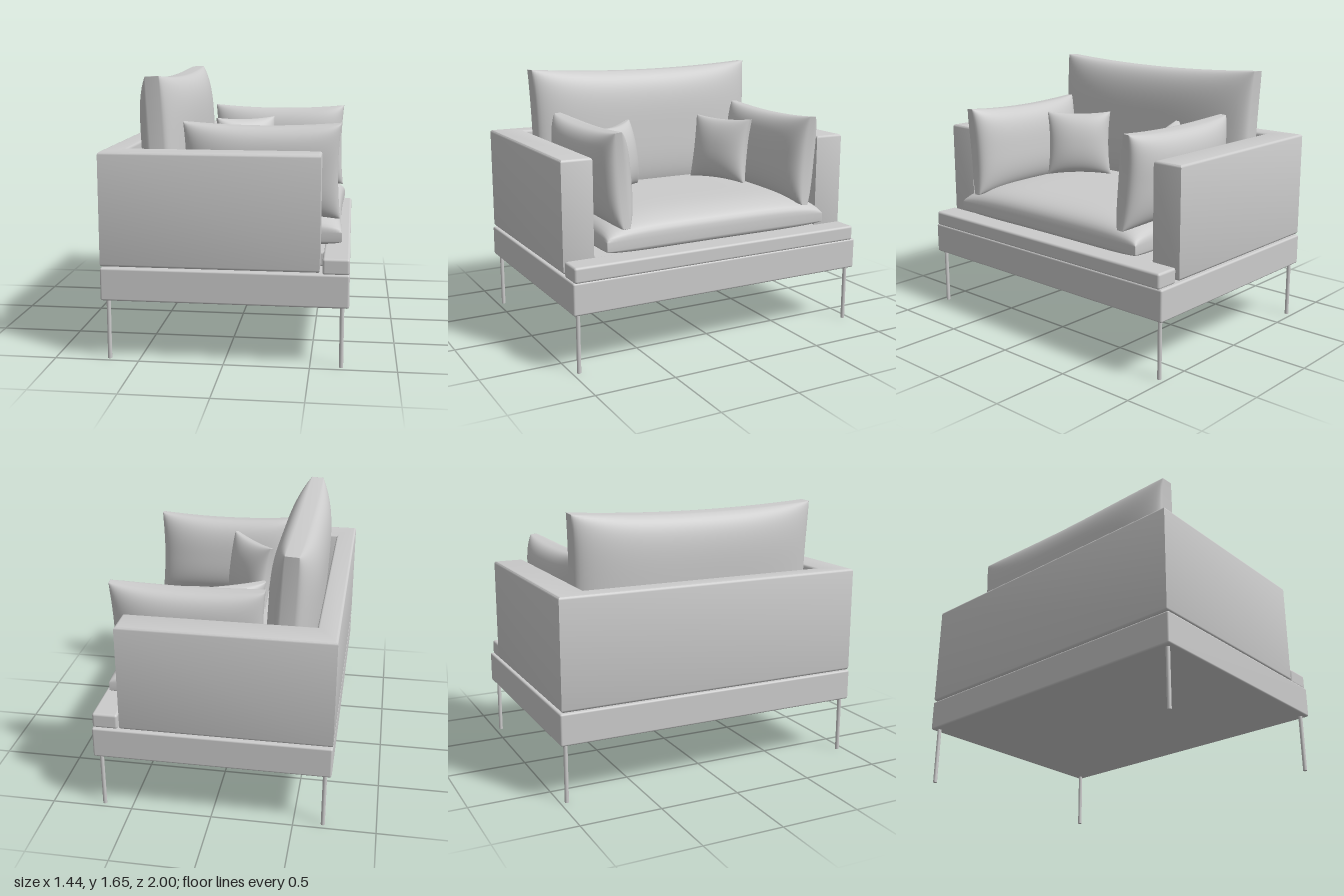
import * as THREE from 'three';
import { mergeVertices, toCreasedNormals } from 'three/addons/utils/BufferGeometryUtils.js';
import { RoundedBoxGeometry } from 'three/addons/geometries/RoundedBoxGeometry.js';

const material = new THREE.MeshStandardMaterial({ color: 0xcccccc });

function add(group, name, geometry, x = 0, y = 0, z = 0) {
  const mesh = new THREE.Mesh(geometry, material);
  mesh.name = name;
  mesh.position.set(x, y, z);
  group.add(mesh);
  return mesh;
}

// Box given by its limits on each axis, with rounded edges
function block(group, name, [x0, x1], [y0, y1], [z0, z1], radius = 0.015) {
  const geometry = new RoundedBoxGeometry(x1 - x0, y1 - y0, z1 - z0, 3, radius);
  return add(group, name, geometry, (x0 + x1) / 2, (y0 + y1) / 2, (z0 + z1) / 2);
}

// Stuffed cushion facing +z: w and h are half sizes, front and back the bulge
// on each side, full and power the fullness, pinchX/pinchY draw the edges in
function cushion({ w, h, front, back = front, rim = 0.012, full = 2.5, power = 0.45, pinchX = 0.04, pinchY = 0.06 }) {
  const box = new THREE.BoxGeometry(2, 2, 2, 36, 36, 2);
  box.deleteAttribute('uv');
  box.deleteAttribute('normal');
  const geometry = mergeVertices(box);
  const p = geometry.attributes.position;
  for (let i = 0; i < p.count; i++) {
    const u = Math.sin(p.getX(i) * Math.PI / 2); // closer rows near the edges
    const v = Math.sin(p.getY(i) * Math.PI / 2);
    const side = p.getZ(i);
    const fill = Math.max(0, (1 - Math.abs(u) ** full) * (1 - Math.abs(v) ** full)) ** power;
    const bulge = rim + ((side > 0 ? front : back) - rim) * fill;
    p.setXYZ(i, w * u * (1 - pinchX * (1 - v * v)), h * v * (1 - pinchY * (1 - u * u)), side * bulge);
  }
  geometry.computeVertexNormals();
  return geometry;
}

// Turn a cushion about the vertical, then lean its top backwards
function place(mesh, turn, lean) {
  mesh.rotation.order = 'YXZ';
  mesh.rotation.set(-lean, turn, 0);
}

// U-shaped shell of back and two arms, open towards +x
function shellGeometry() {
  const outline = [[-0.72, -0.99], [0.55, -0.99], [0.55, -0.795], [-0.59, -0.795],
    [-0.59, 0.795], [0.55, 0.795], [0.55, 0.99], [-0.72, 0.99]];
  const shape = new THREE.Shape(outline.map(([x, y]) => new THREE.Vector2(x, y)));
  const bevel = 0.016;
  const geometry = new THREE.ExtrudeGeometry(shape, {
    depth: 0.67 - 2 * bevel, bevelThickness: bevel, bevelSize: bevel, bevelOffset: -bevel, bevelSegments: 3,
  });
  geometry.translate(0, 0, bevel);
  geometry.rotateX(-Math.PI / 2);
  return toCreasedNormals(geometry, 0.7);
}

export function createModel() {
  const group = new THREE.Group();
  group.name = 'armchair';

  // Frame
  block(group, 'base', [-0.72, 0.72], [0.36, 0.555], [-1, 1], 0.012);
  block(group, 'frontRail', [0.565, 0.72], [0.55, 0.645], [-0.98, 0.99]);
  block(group, 'seatPlatform', [-0.6, 0.6], [0.55, 0.64], [-0.8, 0.8]);
  add(group, 'backAndArms', shellGeometry(), 0, 0.56, 0);

  // Legs
  const leg = new THREE.CylinderGeometry(0.0125, 0.0125, 0.37, 16);
  for (const x of [-0.68, 0.68]) {
    for (const z of [-0.96, 0.96]) add(group, 'leg', leg, x, 0.185, z);
  }

  // Seat cushion, crowned on top and flat underneath
  const seat = add(group, 'seatCushion', cushion({
    w: 0.625, h: 0.765, front: 0.16, back: 0.08, rim: 0.025, full: 5, power: 0.4, pinchX: 0.025, pinchY: 0.01,
  }), 0.045, 0.72, 0);
  seat.rotation.x = -Math.PI / 2;

  // Tall back cushion
  const back = add(group, 'backCushion', cushion({
    w: 0.81, h: 0.45, front: 0.158, rim: 0.04, full: 3.5, power: 0.5, pinchX: 0.02, pinchY: 0.07,
  }), -0.415, 1.2, -0.01);
  place(back, Math.PI / 2, 0.05);

  // Cushions against the arms
  const armCushion = cushion({ w: 0.465, h: 0.285, front: 0.135, rim: 0.02, full: 2.8, power: 0.45, pinchX: 0.035, pinchY: 0.08 });
  place(add(group, 'leftArmCushion', armCushion, 0.19, 1.095, -0.655), 0, 0.08);
  place(add(group, 'rightArmCushion', armCushion, 0.19, 1.095, 0.655), Math.PI, 0.08);

  // Small scatter pillows in the corners
  const pillow = cushion({ w: 0.215, h: 0.215, front: 0.09, full: 2.2, power: 0.5, pinchX: 0.07, pinchY: 0.07 });
  place(add(group, 'rightPillow', pillow, -0.03, 1.1, 0.35), 2.31, 0.14);
  place(add(group, 'leftPillow', pillow, -0.02, 1.095, -0.41), 0.45, 0.18);

  return group;
}
